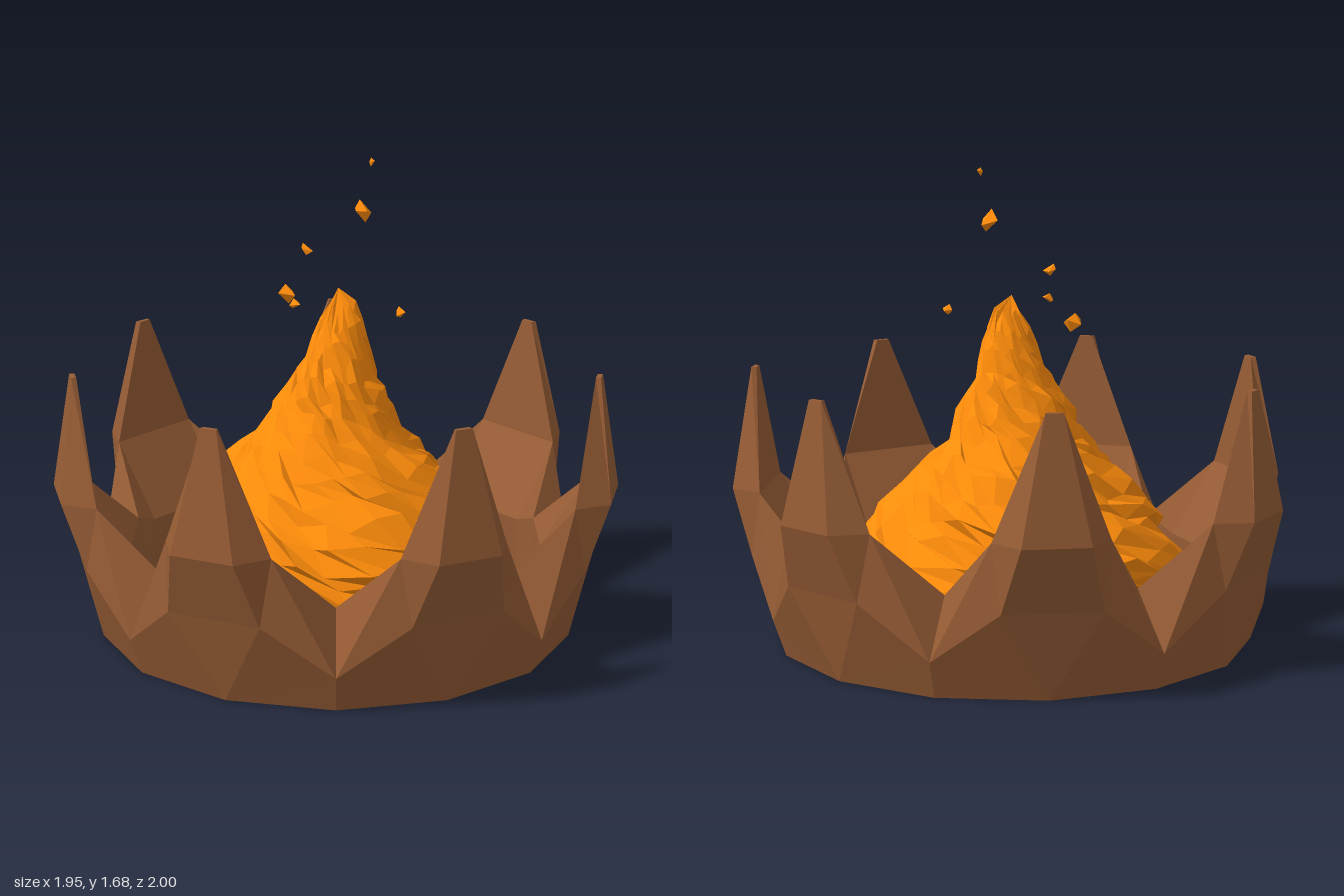
import * as THREE from 'three';

const SPIKES = 7, STEP = (Math.PI * 2) / SPIKES, CX = 0.02;

function seeded(seed) {
  let s = seed;
  return () => ((s = (s * 16807) % 2147483647) / 2147483647);
}

// Flat-shaded geometry from polygons, each split as a fan
function fromPolygons(polygons) {
  const pos = [];
  for (const p of polygons)
    for (let i = 1; i < p.length - 1; i++)
      for (const v of [p[0], p[i], p[i + 1]]) pos.push(v.x, v.y, v.z);
  const g = new THREE.BufferGeometry();
  g.setAttribute('position', new THREE.Float32BufferAttribute(pos, 3));
  g.computeVertexNormals();
  return g;
}

// Ring of seven faceted spikes, each sector mirrored about its own axis
function crownGeometry() {
  const polygons = [];
  for (let k = 0; k < SPIKES; k++) {
    const a = Math.PI + k * STEP, c = Math.cos(a), s = Math.sin(a);
    // r: along the spike's radius, t: sideways
    const at = (r, t, y) => new THREE.Vector3(CX + r * c - t * s, y, r * s + t * c);
    const polar = (r, da, y) => at(r * Math.cos(da), r * Math.sin(da), y);
    const side = (d) => ({
      base: polar(0.85, d * STEP / 2, 0),
      valley: polar(0.895, d * STEP / 2, 0.13),
      notch: polar(0.745, d * STEP / 2, 0.32),
      innerValley: polar(0.73, d * STEP / 2, 0),
      inner: polar(0.747, d * STEP / 4, 0),
      innerMid: at(0.715, d * 0.19, 0.27),
      low: at(0.922, d * 0.17, 0.31),
      mid: at(0.998, d * 0.115, 0.54),
      back: at(0.885, d * 0.195, 0.54),
      tip: at(0.94, d * 0.03, 0.965),
      tipBack: at(0.922, d * 0.025, 0.965),
    });
    const foot = at(0.85, 0, 0), P = side(1), M = side(-1);
    for (const [q, flip] of [[P, false], [M, true]]) {
      const half = [
        [foot, q.valley, q.base], [foot, q.low, q.valley],
        [q.valley, q.low, q.back], [q.valley, q.back, q.notch],
        [q.low, q.mid, q.back], [q.mid, q.tip, q.tipBack, q.back],
        [q.innerMid, q.notch, q.back],
        [q.inner, q.innerValley, q.notch, q.innerMid],
        [q.innerValley, q.inner, foot, q.base],
      ];
      for (const f of half) polygons.push(flip ? f.reverse() : f);
    }
    polygons.push(
      [foot, M.low, P.low], [P.low, M.low, M.mid, P.mid],
      [P.mid, M.mid, M.tip, P.tip], [P.tip, M.tip, M.tipBack, P.tipBack],
      [M.back, P.back, P.tipBack, M.tipBack],
      [M.innerMid, P.innerMid, P.back, M.back],
      [M.inner, P.inner, P.innerMid, M.innerMid],
      [P.inner, M.inner, foot],
    );
  }
  return fromPolygons(polygons);
}

// Twisted, ragged flame: rings follow a profile (radius, height)
function flameGeometry() {
  const profile = [
    [0, 0.1], [0.16, 0.1], [0.32, 0.09], [0.46, 0.085], [0.56, 0.075], [0.6, 0.11], [0.6, 0.17],
    [0.595, 0.23], [0.585, 0.3], [0.56, 0.37], [0.51, 0.44], [0.455, 0.5], [0.395, 0.56],
    [0.335, 0.62], [0.28, 0.68], [0.23, 0.74], [0.2, 0.8], [0.172, 0.86], [0.142, 0.92],
    [0.115, 0.98], [0.095, 1.04], [0.075, 1.1], [0.045, 1.16], [0, 1.23],
  ];
  const rand = seeded(71), N = 32;
  const rings = profile.map(([r, y], i) => {
    const ring = [];
    // the tip leans slightly to one side
    const cx = 0.03 * y * y, cz = 0.012 * Math.cos(y * 8);
    for (let j = 0; j < N; j++) {
      const a0 = (j / N) * Math.PI * 2;
      const a = a0 + 5.5 * Math.max(0, y - 0.1) + (rand() - 0.5) * 0.16;
      const ridge = 1 + 0.035 * Math.sin(4 * a0) + 0.03 * Math.sin(9 * a0 + 1) + (rand() - 0.5) * 0.11;
      const jitter = (rand() - 0.5) * 0.05;
      ring.push(new THREE.Vector3(cx + r * ridge * Math.cos(a), y + jitter, cz + r * ridge * Math.sin(a)));
    }
    // close both ends to a point
    if (i === 0) ring.forEach((v) => v.set(0, y, 0));
    if (i === profile.length - 1) ring.forEach((v) => v.set(0.03, y, 0));
    return ring;
  });
  const polygons = [];
  for (let i = 0; i < rings.length - 1; i++)
    for (let j = 0; j < N; j++) {
      const k = (j + 1) % N, lo = rings[i], hi = rings[i + 1];
      polygons.push([lo[k], lo[j], hi[j]], [lo[k], hi[j], hi[k]]);
    }
  return fromPolygons(polygons);
}

// Small irregular chip
function emberGeometry(size, seed) {
  const rand = seeded(seed), g = new THREE.OctahedronGeometry(size, 0), p = g.attributes.position;
  const moved = new Map();
  for (let i = 0; i < p.count; i++) {
    const key = [p.getX(i), p.getY(i), p.getZ(i)].map((n) => Math.round(n * 1e4)).join();
    if (!moved.has(key)) moved.set(key, [0, 1, 2].map(() => (rand() - 0.5) * size * 0.8));
    const d = moved.get(key);
    p.setXYZ(i, p.getX(i) + d[0], p.getY(i) + d[1], p.getZ(i) + d[2]);
  }
  g.computeVertexNormals();
  return g;
}

export function createModel() {
  const group = new THREE.Group();
  const brown = new THREE.MeshStandardMaterial({ color: 0x965c35, flatShading: true });
  const orange = new THREE.MeshStandardMaterial({ color: 0xff8c0a, flatShading: true });
  const add = (name, geometry, material) => {
    const mesh = new THREE.Mesh(geometry, material);
    mesh.name = name;
    group.add(mesh);
    return mesh;
  };

  add('spikedBowl', crownGeometry(), brown);
  add('flame', flameGeometry(), orange);

  // Embers: x, y, z, size
  const embers = [
    [0.1, 1.67, -0.1, 0.015], [0.085, 1.485, -0.075, 0.042], [-0.16, 1.335, -0.055, 0.024],
    [-0.25, 1.155, -0.05, 0.028], [-0.01, 1.2, 0.19, 0.022], [0.265, 1.165, -0.05, 0.018],
  ];
  embers.forEach(([x, y, z, size], i) =>
    add('ember' + (i + 1), emberGeometry(size, 1234 + i * 977), orange).position.set(x, y, z));
  return group;
}
